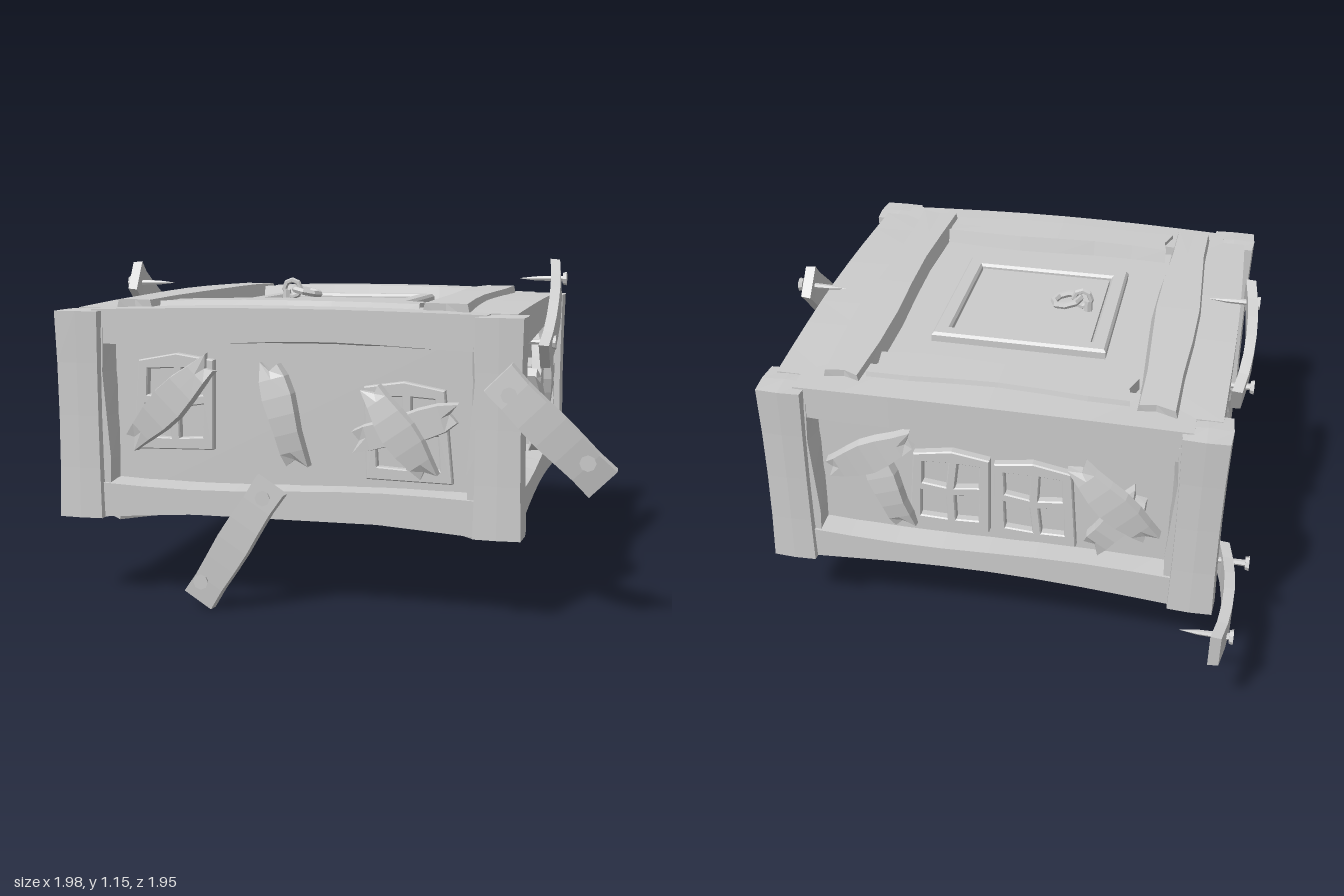
import * as THREE from 'three';

const mat = new THREE.MeshStandardMaterial({ color: 0xcccccc, flatShading: true });
const CX = -0.095, CZ = 0.065; // centre of the crate body
const V = (x, y, z) => new THREE.Vector3(x, y, z);

function add(parent, name, geo, x = 0, y = 0, z = 0) {
  const m = new THREE.Mesh(geo, mat);
  m.name = name;
  m.position.set(x, y, z);
  parent.add(m);
  return m;
}

// Box whose vertices are moved by a rule that depends on position only
function warp(geo, rule) {
  const p = geo.attributes.position, v = V(0, 0, 0);
  for (let i = 0; i < p.count; i++) {
    v.fromBufferAttribute(p, i);
    rule(v);
    p.setXYZ(i, v.x, v.y, v.z);
  }
  geo.computeVertexNormals();
  return geo;
}

// Hand-cut timber: x along, y across, z thick; tapered, bowed, wavy, chipped at the ends
function timber(len, w, t, { taper = 0, bow = 0, wave = 0, notch = 0, bevel = 0, seed = 0 } = {}) {
  return warp(new THREE.BoxGeometry(len, w, t, 6, 2, 1), v => {
    const s = v.x / (len / 2), side = Math.sign(v.y), front = v.z > 0;
    if (Math.abs(s) > 0.99) v.x -= Math.sign(s) * notch * (1 - Math.abs(side) * (side * s > 0 ? 1 : 0.45));
    v.y *= (1 - taper * s * s) * (front ? 1 - bevel : 1);
    v.y += wave * Math.sin(s * 4 + seed + side * 1.3);
    v.z += bow * (1 - s * s);
  });
}

// Places a mesh so that local x runs from a to b and local z faces n
function span(mesh, a, b, n) {
  const x = b.clone().sub(a).normalize();
  const z = n.clone().addScaledVector(x, -n.dot(x)).normalize();
  mesh.quaternion.setFromRotationMatrix(new THREE.Matrix4().makeBasis(x, z.clone().cross(x), z));
  mesh.position.copy(a).add(b).multiplyScalar(0.5);
  return mesh;
}

// Nail with its head at p, pointing against n
function nail(parent, p, n, len = 0.18) {
  const g = new THREE.Group();
  g.name = 'nail';
  add(g, 'nailHead', new THREE.CylinderGeometry(0.026, 0.022, 0.014, 8));
  add(g, 'nailShaft', new THREE.CylinderGeometry(0.012, 0.009, len * 0.65, 6), 0, -len * 0.325);
  add(g, 'nailTip', new THREE.CylinderGeometry(0.009, 0.001, len * 0.35, 6), 0, -len * 0.825);
  g.quaternion.setFromUnitVectors(V(0, 1, 0), n);
  g.position.copy(p);
  parent.add(g);
}

// Slightly crooked four-pane window
function windowGeo(lean) {
  const W = 0.14, H = 0.155, f = 0.032, b = 0.012;
  const s = new THREE.Shape([[-W, -H], [W, -H], [W * 0.93, H * 0.92], [0, H * 1.06], [-W * 0.93, H * 0.92]]
    .map(p => new THREE.Vector2(...p)));
  for (const i of [-1, 1]) for (const j of [-1, 1]) {
    const x0 = i * b, x1 = i * (W - f) * (j > 0 ? 0.96 : 1), y0 = j * b, y1 = j * (H - f);
    s.holes.push(new THREE.Path([[x0, y0], [x1, y0 + 0.012], [x1, y1 * 0.97], [x0 + 0.008, y1]]
      .map(p => new THREE.Vector2(...p))));
  }
  const g = new THREE.ExtrudeGeometry(s, { depth: 0.03, bevelEnabled: true, bevelSize: 0.004, bevelThickness: 0.005, bevelSegments: 1 });
  return warp(g, v => { v.x += v.y * lean; v.y += v.x * lean * 0.4; });
}

// One side: beams, windows [u, y, lean], and nailed planks [u1, y1, u2, y2, width, lift]
function wall(parent, name, angle, windows, planks) {
  const g = new THREE.Group();
  g.name = name;
  g.position.set(CX, 0, CZ);
  g.rotation.y = angle;
  add(g, 'topBeam', warp(new THREE.BoxGeometry(1.34, 0.12, 0.2, 8, 1, 1), v => {
    const c = Math.cos(v.x * 2.3);
    if (v.y > 0) v.y += 0.018 * c * (v.z < 0 ? 1 : 0.7);
    else v.y += v.z > 0 ? 0.012 * Math.sin(v.x * 5 + 1) + 0.015 : -0.005;
    if (v.z > 0) v.z -= 0.012 * (1 - c);
  }), 0, 0.94, 0.668);
  add(g, 'bottomBeam', warp(new THREE.BoxGeometry(1.34, 0.13, 0.2, 8, 1, 1), v => {
    const c = Math.max(0, Math.cos(v.x * 2.4));
    if (v.y < 0) v.y += v.z > 0 ? 0.035 * c : -0.012;
    else v.y += v.z > 0 ? 0.01 * Math.sin(v.x * 5) - 0.01 : 0.006;
  }), 0, 0.355, 0.668);
  for (const s of [-1, 1])
    add(g, 'sideTrim', warp(new THREE.BoxGeometry(0.05, 0.6, 0.1, 1, 4, 1), v => {
      if (v.z > 0) v.x += s * 0.012 * (1 + Math.sin(v.y * 9));
    }), s * 0.635, 0.64, 0.71);
  for (const [u, y, lean] of windows) add(g, 'window', windowGeo(lean), u, y, 0.68);
  planks.forEach(([u1, y1, u2, y2, w = 0.12, lift = 0], i) => {
    const a = V(u1, y1, 0.72 + lift), b = V(u2, y2, 0.72 + lift);
    const geo = timber(a.distanceTo(b), w, 0.035, { taper: 0.38, bow: 0.025, wave: 0.006, notch: 0.035, bevel: 0.12, seed: i * 2 });
    span(add(g, 'wallPlank', geo), a, b, V(0, 0, 1));
  });
  parent.add(g);
}

// Loose board hanging off the crate, with nails [point, shaft length]
function looseBoard(parent, name, a, b, n, w, bow, nails) {
  const g = new THREE.Group();
  g.name = name;
  const geo = timber(a.distanceTo(b), w, 0.036, { taper: -0.06, bow, wave: 0.004, bevel: 0.06 });
  span(add(g, 'board', geo), a, b, n);
  for (const [p, len] of nails) nail(g, p, n, len);
  parent.add(g);
}

export function createModel() {
  const root = new THREE.Group();
  root.name = 'boardedCrate';

  // Body and corner posts
  add(root, 'body', new THREE.BoxGeometry(1.37, 0.68, 1.37), CX, 0.635, CZ);
  for (const sx of [-1, 1]) for (const sz of [-1, 1])
    add(root, 'cornerPost', warp(new THREE.BoxGeometry(0.165, 0.715, 0.165, 2, 4, 2), v => {
      const end = Math.abs(v.y) / 0.3575, k = 0.93 + 0.07 * end * end;
      const corner = Math.abs(v.x) > 0.08 && Math.abs(v.z) > 0.08;
      v.x *= k * (corner ? 0.93 : 1);
      v.z *= k * (corner ? 0.95 : 1);
      if (end > 0.99 && !(v.x === 0 && v.z === 0)) v.y *= 0.985;
    }), CX + sx * 0.712, 0.643, CZ + sz * 0.712);

  // Four sides
  const sidePlanks = [
    [-0.455, 0.845, -0.585, 0.49], [0.185, 0.86, 0.01, 0.57, 0.12],
    [-0.1, 0.76, 0.06, 0.44, 0.12, 0.02], [0.51, 0.85, 0.575, 0.49],
  ];
  const sideWindows = [[-0.29, 0.595, 0.04], [0.315, 0.595, -0.04]];
  wall(root, 'frontWall', 0, [[-0.395, 0.685, 0.05], [0.405, 0.61, -0.06]], [
    [-0.255, 0.835, -0.555, 0.54, 0.12], [-0.055, 0.84, 0.045, 0.48, 0.11],
    [0.22, 0.575, 0.585, 0.685, 0.105], [0.285, 0.77, 0.495, 0.47, 0.115, 0.028],
  ]);
  wall(root, 'rightWall', Math.PI / 2, sideWindows, sidePlanks);
  wall(root, 'leftWall', -Math.PI / 2, sideWindows, sidePlanks);
  wall(root, 'backWall', Math.PI, [[-0.145, 0.615, 0.04], [0.15, 0.605, -0.04]], [
    [-0.58, 0.67, -0.26, 0.84, 0.12, 0.015], [-0.42, 0.78, -0.3, 0.45, 0.11],
    [0.35, 0.46, 0.52, 0.72, 0.11], [0.29, 0.82, 0.57, 0.55, 0.12, 0.025],
  ]);

  // Roof planks
  const up = V(0, 1, 0);
  [[-0.64, -0.62, -0.64, 0.75, 0.17, 1.0], [0.43, -0.62, 0.43, 0.74, 0.165, 1.0],
    [-0.56, -0.51, 0.35, -0.51, 0.17, 0.995], [-0.56, 0.64, 0.35, 0.64, 0.18, 0.995]]
    .forEach(([x1, z1, x2, z2, w, y], i) => {
      const a = V(x1, y, z1), b = V(x2, y, z2);
      const geo = timber(a.distanceTo(b), w, 0.06, { taper: 0.06, bow: 0.008, wave: 0.009, notch: 0.025, bevel: 0.18, seed: i * 1.7 });
      span(add(root, 'roofPlank', geo), a, b, up);
    });

  // Trapdoor: raised frame, panel and ring handle
  const square = h => [[-h, -h], [h, -h], [h, h], [-h, h]].map(p => new THREE.Vector2(...p));
  const frame = new THREE.Shape(square(0.307));
  frame.holes.push(new THREE.Path(square(0.264)));
  const frameGeo = new THREE.ExtrudeGeometry(frame, { depth: 0.03, bevelEnabled: true, bevelSize: 0.008, bevelThickness: 0.01, bevelSegments: 1 });
  add(root, 'trapdoorFrame', frameGeo.rotateX(-Math.PI / 2), -0.105, 0.97, 0.065);
  add(root, 'trapdoorPanel', new THREE.BoxGeometry(0.5, 0.03, 0.5), -0.105, 0.98, 0.065);
  const ring = add(root, 'handleRing', new THREE.TorusGeometry(0.05, 0.013, 6, 8).rotateX(Math.PI / 2), -0.23, 1.03, 0.06);
  ring.rotation.z = -0.2;
  add(root, 'handleStaple', new THREE.TorusGeometry(0.032, 0.011, 6, 8), -0.288, 1.04, 0.06);
  add(root, 'handlePin', new THREE.CylinderGeometry(0.015, 0.018, 0.05, 6), -0.31, 1.01, 0.06);

  // Crossed braces under the floor
  for (const s of [-1, 1]) {
    const geo = timber(1.84, 0.11, 0.05, { taper: 0.1, bow: 0.008, wave: 0.006, bevel: 0.2, seed: s });
    span(add(root, 'floorBrace', geo), V(CX - 0.65, 0.288, CZ - s * 0.65), V(CX + 0.65, 0.288, CZ + s * 0.65), V(0, -1, 0));
  }

  // Loose boards
  const F = V(0, 0, 1), R = V(1, 0, 0), L = V(-1, 0, 0);
  looseBoard(root, 'frontLowBoard', V(-0.38, 0.035, 0.86), V(-0.12, 0.44, 0.875), F, 0.115, 0.012,
    [[V(-0.36, 0.105, 0.897), 0.17], [V(-0.14, 0.4, 0.902), 0.15]]);
  looseBoard(root, 'frontCornerBoard', V(0.62, 0.815, 0.892), V(0.945, 0.49, 0.85), F, 0.125, 0.022,
    [[V(0.665, 0.77, 0.965), 0.18], [V(0.9, 0.56, 0.895), 0.165]]);
  looseBoard(root, 'rightHighBoard', V(0.695, 0.81, 0.19), V(0.7, 1.11, -0.15), R, 0.12, 0.016,
    [[V(0.725, 0.86, 0.145), 0.15], [V(0.737, 1.08, -0.12), 0.17]]);
  looseBoard(root, 'leftHighBoard', V(-0.885, 0.86, -0.24), V(-0.89, 1.09, 0.17), L, 0.12, 0.025,
    [[V(-0.935, 0.89, -0.19), 0.15], [V(-0.925, 1.06, 0.12), 0.175]]);
  looseBoard(root, 'leftLowBoard', V(-0.9, 0.385, -0.51), V(-0.905, 0.353, -0.97), L, 0.13, 0.03,
    [[V(-0.985, 0.41, -0.57), 0.18], [V(-0.955, 0.345, -0.88), 0.17]]);

  return root;
}
